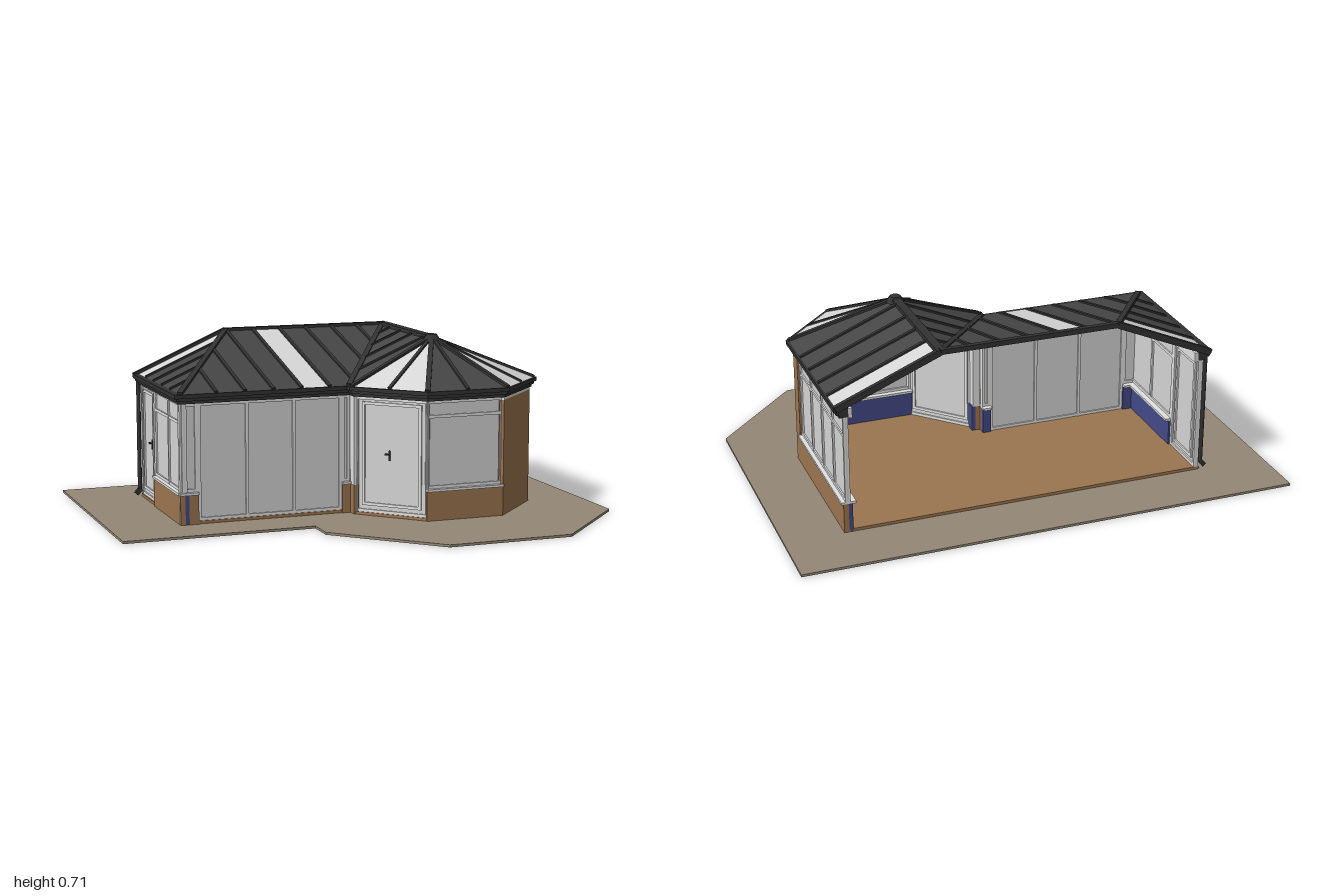
import * as THREE from 'three';

const mat = (name, color, side = THREE.FrontSide) => {
  const m = new THREE.MeshStandardMaterial({ color, side });
  m.name = name;
  return m;
};
const M = {
  paving: mat('paving', 0x948876),
  brick: mat('brick', 0x9c7650),
  blue: mat('bluePlaster', 0x434a88),
  glass: mat('glass', 0xd6d6d6),
  frame: mat('whiteFrame', 0xe2e2e2),
  tile: mat('roofPanel', 0x464646),
  trim: mat('darkTrim', 0x333333),
  ceiling: mat('ceiling', 0xd2ccaa),
};

// Outer wall line (x, z) from the back left round the front; the back is open
const WALL = [[-.72, -.53], [-.72, .09], [-.01, .09], [-.01, .13], [.21, .36], [.54, .36], [.765, .13], [.765, -.53]]
  .map(([x, z]) => new THREE.Vector2(x, z));
const EAVE = .53, RIDGE = .697, BACK = -.53, FRONT = .1;

// Wall line moved outward by d with mitred corners
function offsetLine(d) {
  const normals = WALL.slice(1).map((p, i) => {
    const t = p.clone().sub(WALL[i]).normalize();
    return new THREE.Vector2(-t.y, t.x);
  });
  return WALL.map((p, i) => {
    const a = normals[Math.max(0, i - 1)], b = normals[Math.min(i, normals.length - 1)];
    const m = a.clone().add(b);
    return p.clone().addScaledVector(m, d / (1 + a.dot(b)));
  });
}

export function createModel() {
  const root = new THREE.Group();
  root.name = 'gardenRoom';
  const add = (name, geo, material, parent = root) => {
    const mesh = new THREE.Mesh(geo, material);
    mesh.name = name;
    parent.add(mesh);
    return mesh;
  };

  // Flat slab from a plan outline
  function slab(name, pts, y0, y1, material) {
    const shape = new THREE.Shape(pts.map(p => new THREE.Vector2(p.x, -p.y)));
    const g = new THREE.ExtrudeGeometry(shape, { depth: y1 - y0, bevelEnabled: false });
    g.rotateX(-Math.PI / 2).translate(0, y0, 0);
    return add(name, g, material);
  }
  const band = (name, d0, d1, y0, y1, material) =>
    slab(name, [...offsetLine(d1), ...offsetLine(d0).reverse()], y0, y1, material);

  slab('patio', [[-1, -.77], [1, -.77], [1, .4], [.64, .765], [.13, .765], [-.23, .4], [-.23, .28], [-1, .28]]
    .map(([x, z]) => new THREE.Vector2(x, z)), 0, .01, M.paving);
  slab('floor', offsetLine(-.005), .01, .022, M.brick);

  // Wall sides: local x runs along the wall, local z points outward
  const sides = WALL.slice(1).map((b, i) => {
    const a = WALL[i], g = new THREE.Group();
    g.name = 'wallSide' + (i + 1);
    g.position.set(a.x, 0, a.y);
    g.rotation.y = Math.atan2(-(b.y - a.y), b.x - a.x);
    g.userData.length = a.distanceTo(b);
    root.add(g);
    return g;
  });
  function block(side, name, x0, x1, y0, y1, z0, z1, material) {
    const g = new THREE.BoxGeometry(x1 - x0, y1 - y0, z1 - z0);
    g.translate((x0 + x1) / 2, (y0 + y1) / 2, (z0 + z1) / 2);
    return add(name, g, material, sides[side]);
  }
  function masonry(side, x0, x1, top) {
    block(side, 'brickWall', x0, x1, .01, top, -.02, 0, M.brick);
    block(side, 'innerPlaster', x0, x1, .01, top, -.036, -.02, M.blue);
  }
  function sill(side, x0, x1) {
    block(side, 'sill', x0, x1, .128, .138, -.05, .008, M.frame);
  }
  // Glazed panel with a frame, mullions and an optional transom
  function glazing(side, x0, x1, y0, y1, bays, transom) {
    const w = .012;
    block(side, 'glassPane', x0, x1, y0, y1, -.021, -.015, M.glass);
    for (let i = 0; i <= bays; i++) {
      const x = x0 + (x1 - x0 - w) * i / bays;
      block(side, 'mullion', x, x + w, y0, y1, -.028, -.008, M.frame);
    }
    const rails = [y0, y1 - w];
    if (transom) rails.push(transom);
    for (const y of rails) block(side, 'rail', x0, x1, y, y + w, -.027, -.009, M.frame);
  }
  function windowOnWall(side, x0, x1, bays, transom = .405) {
    masonry(side, x0, x1, .13);
    sill(side, x0, x1);
    glazing(side, x0, x1, .138, .49, bays, transom);
  }
  function door(side, x0, x1, handleX) {
    glazing(side, x0, x1, .022, .49, 1);
    glazing(side, x0 + .03, x1 - .03, .05, .47, 1);
    block(side, 'handlePlate', handleX, handleX + .006, .24, .28, -.008, -.003, M.trim);
    block(side, 'handleLever', handleX - .014, handleX + .006, .262, .268, -.003, .006, M.trim);
  }

  const len = i => sides[i].userData.length;
  door(0, 0, .22, .18);
  windowOnWall(0, .22, len(0), 2);
  windowOnWall(1, 0, .075, 1, 0);
  glazing(1, .075, .675, .022, .49, 3);
  windowOnWall(1, .675, len(1), 1, 0);
  masonry(2, 0, len(2), .13);
  block(2, 'cornerPost', 0, len(2), .13, .49, -.03, 0, M.frame);
  door(3, 0, len(3), .15);
  windowOnWall(4, 0, len(4), 1, .42);
  masonry(5, 0, len(5), .478);
  masonry(6, 0, .055, .478);
  for (const [s, l] of [[5, len(5)], [6, .055]]) block(s, 'wallHead', 0, l, .478, .49, -.03, 0, M.frame);
  windowOnWall(6, .055, len(6), 4);

  // Stepped eaves and gutter
  band('eavesLining', -.045, -.03, .485, .525, M.frame);
  band('eavesLower', -.03, .006, .49, .502, M.trim);
  band('eavesMiddle', -.03, .016, .502, .514, M.trim);
  band('gutter', -.03, .025, .514, EAVE, M.trim);

  // Roof surface with a lining beneath it
  const V = (x, y, z) => new THREE.Vector3(x, y, z);
  function roofPanel(name, pts, glazed) {
    const n = pts[1].clone().sub(pts[0]).cross(pts[2].clone().sub(pts[0]));
    const up = n.y > 0 ? pts : [...pts].reverse();
    const face = (label, loop, drop, material) => {
      const idx = [];
      for (let i = 1; i < loop.length - 1; i++) idx.push(0, i, i + 1);
      const g = new THREE.BufferGeometry().setFromPoints(loop.map(p => V(p.x, p.y - drop, p.z)));
      g.setIndex(idx);
      g.computeVertexNormals();
      add(label, g, material);
    };
    face(name, up, 0, glazed ? M.glass : M.tile);
    face(name + 'Lining', [...up].reverse(), .014, glazed ? M.glass : M.ceiling);
  }
  const rise = RIDGE - EAVE, depth = FRONT - BACK;
  const tAt = z => (FRONT - z) / depth;
  const lean = (x, z) => V(x, EAVE + rise * tAt(z), z);
  const hipX = z => -.72 + .38 * tAt(z);
  const valleyX = z => -.02 + .395 * tAt(z);
  const leftSlope = (x, z) => V(x, EAVE + rise * (x + .72) / .38, z);
  const bayLeft = (x, z) => V(x, EAVE + rise * (x + .02) / .395, z);
  const bayRight = (x, z) => V(x, EAVE + rise * (.78 - x) / .405, z);
  const apex = V(.375, RIDGE, .01), ridgeEnd = V(.375, RIDGE, BACK), hipTop = V(-.34, RIDGE, BACK);

  roofPanel('leanRoofLeft', [lean(-.72, FRONT), lean(-.215, FRONT), lean(-.215, BACK), hipTop]);
  roofPanel('skylightStrip', [lean(-.215, FRONT), lean(-.1, FRONT), lean(-.1, BACK), lean(-.215, BACK)], true);
  roofPanel('leanRoofRight', [lean(-.1, FRONT), lean(-.02, FRONT), ridgeEnd, lean(-.1, BACK)]);
  const zg = -.41;
  roofPanel('hipRoof', [leftSlope(-.72, FRONT), leftSlope(hipX(zg), zg), leftSlope(-.72, zg)]);
  roofPanel('hipSkylight', [leftSlope(-.72, zg), leftSlope(hipX(zg), zg), hipTop, leftSlope(-.72, BACK)], true);
  roofPanel('bayRoofLeft', [bayLeft(-.02, FRONT), bayLeft(-.02, .13), apex, ridgeEnd]);
  roofPanel('bayRoofRight', [apex, bayRight(.78, .135), bayRight(.78, zg), bayRight(.375, zg)]);
  roofPanel('bayRoofSkylight', [bayRight(.375, zg), bayRight(.78, zg), bayRight(.78, BACK), ridgeEnd], true);

  // Glazing bars, hips, valley and ridges
  function bar(name, a, b, w = .014, h = .014) {
    const m = add(name, new THREE.BoxGeometry(w, h, a.distanceTo(b)), M.trim);
    m.position.copy(a).add(b).multiplyScalar(.5);
    m.lookAt(b);
  }

  // Faceted bay: two panels on each of three facets
  const rim = [V(-.02, EAVE, .13), V(.205, EAVE, .37), V(.55, EAVE, .37), V(.78, EAVE, .135)];
  for (let i = 0; i < 3; i++) {
    const mid = rim[i].clone().lerp(rim[i + 1], .5);
    roofPanel('bayFacet', [apex, rim[i], mid], i !== 1);
    roofPanel('bayFacet', [apex, mid, rim[i + 1]], i !== 1);
    bar('bayBar', mid, apex);
  }
  rim.forEach(p => bar('bayHip', p, apex, .02, .016));

  for (let i = 0; i < 8; i++) {
    const x = -.573 + i * .1175;
    const zTop = x < -.34 ? FRONT - (x + .72) / .38 * depth
      : FRONT - Math.min(1, Math.max(0, (x + .02) / .395)) * depth;
    if (x <= -.02) bar('leanBar', lean(x, FRONT), lean(x, x < -.34 ? zTop : BACK));
    else bar('leanBar', lean(x, zTop), lean(x, BACK));
  }
  for (const z of [-.41, -.29, -.165, -.04]) {
    bar('hipBar', leftSlope(-.72, z), leftSlope(hipX(z), z));
    bar('bayLeftBar', bayLeft(valleyX(z), z), bayLeft(.375, z));
    bar('bayRightBar', bayRight(.375, z), bayRight(.78, z));
  }
  bar('hipRidge', lean(-.72, FRONT), hipTop, .022, .018);
  bar('valley', lean(-.02, FRONT), ridgeEnd, .022, .016);
  bar('bayRidge', apex, ridgeEnd, .034, .018);
  bar('backRidge', hipTop, ridgeEnd, .02, .02);
  bar('leftVerge', leftSlope(-.74, BACK), hipTop, .018, .026);
  bar('rightVerge', ridgeEnd, bayRight(.785, BACK), .018, .026);

  // Cap where the bay bars meet
  add('ridgeCap', new THREE.CylinderGeometry(.022, .038, .024, 8), M.trim).position.set(.375, RIDGE + .002, .01);

  // Downpipe with an angled shoe at the back corner
  add('downpipe', new THREE.CylinderGeometry(.009, .009, .46, 12), M.trim).position.set(-.725, .27, -.52);
  bar('downpipeShoe', V(-.722, .045, -.52), V(-.742, .022, -.52), .02, .018);
  return root;
}
